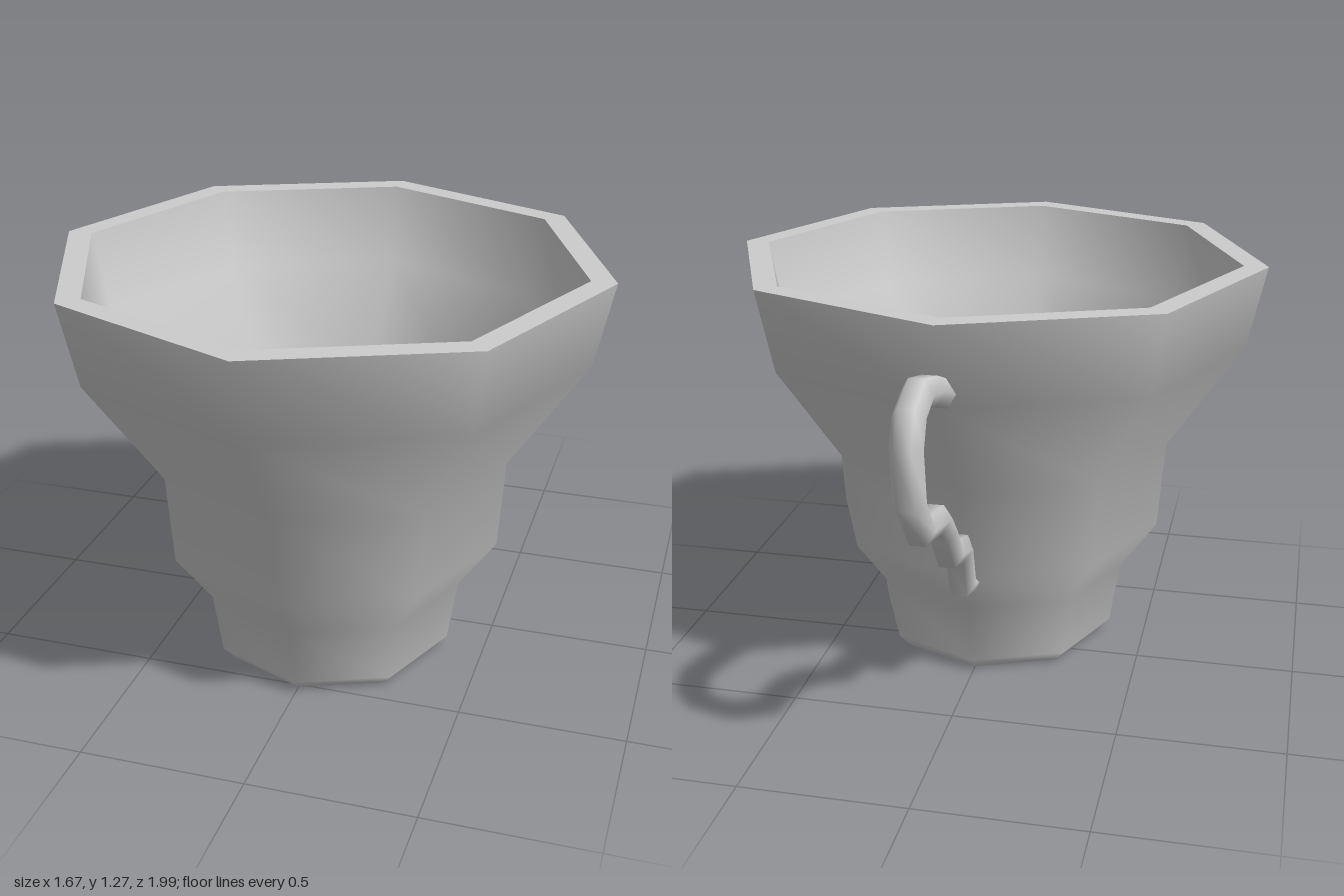
import * as THREE from 'three';
import { toCreasedNormals } from 'three/addons/utils/BufferGeometryUtils.js';

const SIDES = 8;
const CUP_Z = 0.165;

// Octagonal surface of revolution from [radius, height] pairs
function lathe(name, profile, material) {
  const points = profile.map(([r, y]) => new THREE.Vector2(r, y));
  const mesh = new THREE.Mesh(new THREE.LatheGeometry(points, SIDES), material);
  mesh.name = name;
  return mesh;
}

// Hexagonal tube with mitred joints along a [z, y] path in the x = 0 plane
function handleGeometry(path, radius, sides = 6) {
  const points = path.map(([z, y]) => new THREE.Vector3(0, y, z));
  const last = points.length - 1;
  const positions = [], index = [];
  points.forEach((p, i) => {
    const a = p.clone().sub(points[Math.max(i - 1, 0)]).normalize();
    const b = points[Math.min(i + 1, last)].clone().sub(p).normalize();
    const t = a.clone().add(b).normalize();
    const miter = 1 / Math.max(t.dot(i < last ? b : a), 0.8);
    for (let j = 0; j < sides; j++) {
      const angle = (j / sides) * Math.PI * 2;
      const s = Math.sin(angle) * radius * miter;
      positions.push(Math.cos(angle) * radius, p.y + t.z * s, p.z - t.y * s);
      if (i < last) {
        const k = (j + 1) % sides;
        const r0 = i * sides, r1 = r0 + sides;
        index.push(r0 + j, r0 + k, r1 + j, r0 + k, r1 + k, r1 + j);
      }
    }
  });
  // End caps
  const end = last * sides;
  for (let j = 1; j < sides - 1; j++) {
    index.push(0, j + 1, j, end, end + j, end + j + 1);
  }
  const geometry = new THREE.BufferGeometry();
  geometry.setAttribute('position', new THREE.Float32BufferAttribute(positions, 3));
  geometry.setIndex(index);
  return toCreasedNormals(geometry, 1.3);
}

export function createModel() {
  const model = new THREE.Group();
  model.name = 'teacup';
  const material = new THREE.MeshStandardMaterial({ color: 0xcccccc });

  // Cup body: separate surfaces keep the rim and foot edges sharp
  const cup = new THREE.Group();
  cup.name = 'cup';
  cup.position.z = CUP_Z;
  cup.add(
    lathe('outerWall', [
      [0.35, 0], [0.385, 0.04], [0.415, 0.24], [0.53, 0.4],
      [0.55, 0.68], [0.78, 1.02], [0.835, 1.275],
    ], material),
    lathe('rim', [[0.835, 1.275], [0.76, 1.275]], material),
    lathe('innerWall', [
      [0.76, 1.275], [0.71, 1.03], [0.5, 0.7], [0.48, 0.42],
      [0.37, 0.26], [0.345, 0.07], [0.33, 0.05], [0.3, 0.05], [0, 0.05],
    ], material),
    lathe('base', [[0, 0], [0.35, 0]], material),
  );
  model.add(cup);

  // Handle: loop at the top, stepped tail running down to the foot
  const handle = new THREE.Mesh(handleGeometry([
    [-0.59, 1.06], [-0.715, 1.11], [-0.835, 1.14], [-0.92, 1.105], [-0.953, 1.03],
    [-0.93, 0.88], [-0.84, 0.76], [-0.68, 0.725], [-0.595, 0.655], [-0.52, 0.55],
    [-0.405, 0.515], [-0.365, 0.385], [-0.265, 0.35],
  ], 0.046), material);
  handle.name = 'handle';
  model.add(handle);

  return model;
}
